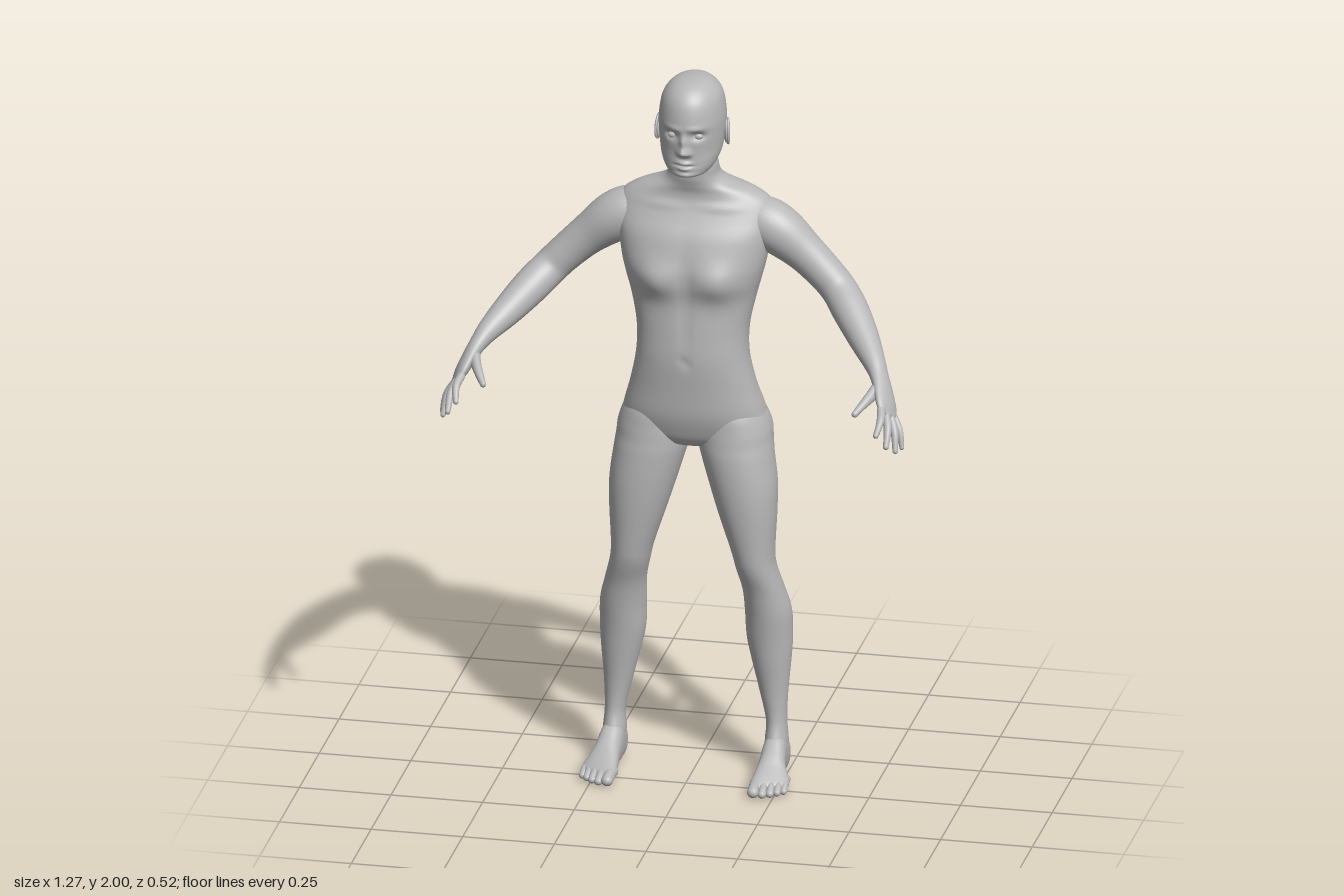
import * as THREE from 'three';

const V = (x, y, z) => new THREE.Vector3(x, y, z);
const skin = new THREE.MeshStandardMaterial({ color: 0xb8b8b8 });
skin.name = 'plain grey';

// Smooth curve through rows of numbers, 'steps' samples per span
function smoothRows(rows, steps) {
  const out = [], last = rows.length - 1;
  for (let i = 0; i < last; i++) {
    const a = rows[Math.max(i - 1, 0)], b = rows[i], c = rows[i + 1], d = rows[Math.min(i + 2, last)];
    for (let s = 0; s < steps; s++) {
      const t = s / steps, t2 = t * t, t3 = t2 * t;
      out.push(b.map((v, k) => 0.5 * (2 * v + (c[k] - a[k]) * t
        + (2 * a[k] - 5 * v + 4 * c[k] - d[k]) * t2 + (3 * v - a[k] - 3 * c[k] + d[k]) * t3)));
    }
  }
  out.push(rows[last]);
  return out;
}

// Closed surface over a list of rings, with fans at both ends
function cover(rings) {
  const n = rings[0].length, pos = [], idx = [];
  rings.forEach(r => r.forEach(p => pos.push(p.x, p.y, p.z)));
  for (let i = 0; i < rings.length - 1; i++) for (let j = 0; j < n; j++) {
    const a = i * n + j, b = i * n + (j + 1) % n;
    idx.push(a, b, a + n, b, b + n, a + n);
  }
  [0, rings.length - 1].forEach((r, end) => {
    const mid = rings[r].reduce((s, p) => s.add(p), V(0, 0, 0)).divideScalar(n);
    const m = pos.push(mid.x, mid.y, mid.z) / 3 - 1;
    for (let j = 0; j < n; j++) {
      const a = r * n + j, b = r * n + (j + 1) % n;
      if (end) idx.push(m, a, b); else idx.push(m, b, a);
    }
  });
  const g = new THREE.BufferGeometry();
  g.setAttribute('position', new THREE.Float32BufferAttribute(pos, 3));
  g.setIndex(idx);
  g.computeVertexNormals();
  return g;
}

// Loft of rounded sections [t, centre, halfWidth, high, low, squareness]; place() sets them in space
function loft(rows, place, { segs = 48, steps = 6, deform = p => p } = {}) {
  const pw = (v, n) => Math.sign(v) * Math.abs(v) ** (2 / n);
  return cover(smoothRows(rows, steps).map(([t, c, w, hi, lo, n]) =>
    Array.from({ length: segs }, (_, j) => {
      const a = j / segs * Math.PI * 2;
      return deform(place(c + w * pw(Math.cos(a), n), (hi + lo) / 2 + (hi - lo) / 2 * pw(Math.sin(a), n), t));
    })));
}
const upright = (a, b, t) => V(a, t, b);
const lengthwise = (a, b, t) => V(a, b, t);

// Round-ended limb through points [x, y, z, width, thickness]; 'across' is the width direction
function limb(points, across, segs = 16, steps = 5) {
  const rows = smoothRows(points, steps), at = r => V(r[0], r[1], r[2]), rings = [];
  const ring = (r, i, k, push) => {
    const t = at(rows[Math.min(i + 1, rows.length - 1)]).sub(at(rows[Math.max(i - 1, 0)])).normalize();
    const u = across.clone().addScaledVector(t, -across.dot(t)).normalize(), v = t.clone().cross(u);
    rings.push(Array.from({ length: segs }, (_, j) => {
      const a = j / segs * Math.PI * 2;
      return at(r).addScaledVector(t, push * Math.min(r[3], r[4]))
        .addScaledVector(u, Math.cos(a) * r[3] * k).addScaledVector(v, Math.sin(a) * r[4] * k);
    }));
  };
  const caps = [0.1, 0.35, 0.65, 0.95, 1.25, 1.5], last = rows.length - 1;
  caps.forEach(a => ring(rows[0], 0, Math.sin(a), -Math.cos(a)));
  rows.forEach((r, i) => ring(r, i, 1, 0));
  [...caps].reverse().forEach(a => ring(rows[last], last, Math.sin(a), Math.cos(a)));
  return cover(rings);
}

// Soft mirrored bump centred at (x, y)
const bump = (p, x, y, sx, sy) => Math.exp(-(((Math.abs(p.x) - x) / sx) ** 2) - ((p.y - y) / sy) ** 2);

// Chest, collarbones, navel, spine, shoulder blades and buttocks
function shapeBody(p) {
  const f = THREE.MathUtils.smoothstep(p.z, -0.11, -0.03), b = 1 - THREE.MathUtils.smoothstep(p.z, -0.2, -0.13);
  p.z += f * (0.02 * bump(p, 0.085, 1.44, 0.055, 0.05) - 0.006 * bump(p, 0, 1.45, 0.02, 0.09)
    + 0.006 * bump(p, 0.09, 1.635, 0.07, 0.012) - 0.006 * bump(p, 0, 1.21, 0.01, 0.012)
    - 0.004 * bump(p, 0, 1.31, 0.012, 0.08));
  p.z -= b * (0.03 * bump(p, 0.09, 1.03, 0.06, 0.075) - 0.028 * bump(p, 0, 1.02, 0.016, 0.09)
    + 0.014 * bump(p, 0.1, 1.53, 0.05, 0.08) - 0.014 * bump(p, 0, 1.4, 0.025, 0.24));
  return p;
}

// Nose, eye sockets, brow, lips and chin
function shapeFace(p) {
  const f = THREE.MathUtils.smoothstep(p.z, -0.07, -0.02);
  p.z += f * (0.026 * bump(p, 0, 1.823, 0.012, 0.012) + 0.014 * bump(p, 0, 1.848, 0.01, 0.02)
    + 0.01 * bump(p, 0.013, 1.818, 0.007, 0.008) - 0.013 * bump(p, 0.035, 1.866, 0.018, 0.012)
    + 0.004 * bump(p, 0.03, 1.887, 0.025, 0.008) + 0.009 * bump(p, 0, 1.789, 0.018, 0.006)
    + 0.009 * bump(p, 0, 1.774, 0.016, 0.006) - 0.006 * bump(p, 0, 1.7815, 0.022, 0.0025)
    + 0.006 * bump(p, 0, 1.756, 0.02, 0.009));
  return p;
}

function mirrored(g) {
  const m = g.clone().scale(-1, 1, 1), i = m.index.array;
  for (let k = 0; k < i.length; k += 3) [i[k], i[k + 1]] = [i[k + 1], i[k]];
  m.computeVertexNormals();
  return m;
}

export function createModel() {
  const model = new THREE.Group();
  model.name = 'figure';
  const add = (name, g) => {
    const mesh = new THREE.Mesh(g, skin);
    mesh.name = name;
    model.add(mesh);
  };
  const pair = (name, g) => { add(name + 'Left', g); add(name + 'Right', mirrored(g)); };

  // Head
  add('head', loft([
    [2.0, 0, 0.004, -0.088, -0.096, 2], [1.995, 0, 0.035, -0.045, -0.14, 2], [1.98, 0, 0.06, -0.01, -0.172, 2],
    [1.95, 0, 0.08, 0.015, -0.197, 2], [1.9, 0, 0.089, 0.027, -0.208, 2], [1.86, 0, 0.089, 0.025, -0.203, 2],
    [1.82, 0, 0.085, 0.021, -0.188, 2], [1.79, 0, 0.078, 0.02, -0.165, 2.1], [1.765, 0, 0.066, 0.021, -0.14, 2.1],
    [1.748, 0, 0.047, 0.016, -0.11, 2.1], [1.738, 0, 0.01, -0.03, -0.06, 2],
  ], upright, { segs: 96, steps: 10, deform: shapeFace }));

  // Eyes and ears
  pair('eye', new THREE.SphereGeometry(0.012, 20, 14).scale(1.1, 0.75, 0.7).translate(0.035, 1.863, 0.003));
  const place = g => g.rotateX(-0.2).rotateY(0.25).translate(0.09, 1.845, -0.097);
  pair('ear', place(new THREE.SphereGeometry(1, 20, 14).scale(0.007, 0.033, 0.019)));
  pair('earRim', place(new THREE.TorusGeometry(0.017, 0.004, 8, 28).rotateY(Math.PI / 2).scale(1, 1.8, 1).translate(0.005, 0, 0)));

  // Neck, trunk and pelvis
  add('torso', loft([
    [1.8, 0, 0.06, -0.05, -0.155, 2], [1.75, 0, 0.066, -0.047, -0.164, 2], [1.715, 0, 0.073, -0.05, -0.184, 2],
    [1.692, 0, 0.1, -0.056, -0.2, 2], [1.668, 0, 0.16, -0.062, -0.214, 2], [1.64, 0, 0.2, -0.058, -0.226, 2.1],
    [1.6, 0, 0.213, -0.038, -0.235, 2.2], [1.55, 0, 0.208, -0.011, -0.238, 2.3], [1.48, 0, 0.196, 0.008, -0.234, 2.3],
    [1.43, 0, 0.184, 0.01, -0.228, 2.3], [1.37, 0, 0.168, 0.004, -0.22, 2.3], [1.29, 0, 0.152, 0.01, -0.207, 2.3],
    [1.21, 0, 0.152, 0.014, -0.2, 2.3], [1.12, 0, 0.17, 0.007, -0.21, 2.3], [1.05, 0, 0.19, 0, -0.233, 2.3],
    [1.0, 0, 0.198, -0.014, -0.232, 2.2], [0.97, 0, 0.17, -0.028, -0.21, 2.1], [0.95, 0, 0.1, -0.05, -0.18, 2],
    [0.94, 0, 0.01, -0.1, -0.13, 2],
  ], upright, { segs: 80, steps: 7, deform: shapeBody }));

  // Legs
  pair('leg', loft([
    [1.1, 0.1, 0.05, -0.05, -0.18, 2], [1.05, 0.103, 0.084, -0.022, -0.215, 2], [1.0, 0.107, 0.1, -0.014, -0.235, 2.1],
    [0.96, 0.111, 0.101, -0.01, -0.226, 2.1], [0.92, 0.119, 0.098, -0.006, -0.21, 2.1], [0.84, 0.136, 0.091, -0.004, -0.199, 2.1],
    [0.76, 0.1485, 0.0785, -0.008, -0.185, 2.1], [0.65, 0.164, 0.058, -0.02, -0.17, 2.1], [0.6, 0.172, 0.054, -0.029, -0.167, 2.1],
    [0.535, 0.1875, 0.0555, -0.05, -0.18, 2.1], [0.467, 0.1975, 0.0625, -0.063, -0.199, 2], [0.39, 0.2, 0.062, -0.075, -0.2, 2],
    [0.33, 0.2045, 0.0545, -0.082, -0.191, 2], [0.23, 0.2125, 0.038, -0.093, -0.173, 2], [0.15, 0.22, 0.028, -0.093, -0.17, 2],
    [0.09, 0.221, 0.031, -0.075, -0.18, 2], [0.04, 0.222, 0.027, -0.08, -0.183, 2],
  ], upright, { deform: shapeBody }));

  // Feet, slanting back toward the little toe
  pair('foot', loft([
    [-0.191, 0.222, 0.006, 0.045, 0.03, 2], [-0.185, 0.222, 0.02, 0.065, 0.01, 2], [-0.155, 0.222, 0.031, 0.1, 0, 2.4],
    [-0.1, 0.222, 0.033, 0.118, 0, 2.4], [-0.05, 0.225, 0.036, 0.09, 0.001, 2.3], [-0.01, 0.229, 0.044, 0.063, 0.001, 2.3],
    [0.025, 0.232, 0.05, 0.044, 0.001, 2.3], [0.045, 0.232, 0.046, 0.032, 0.004, 2.3], [0.053, 0.232, 0.03, 0.022, 0.01, 2],
  ], lengthwise, {
    deform: p => { p.z -= 0.5 * (p.x - 0.225) * THREE.MathUtils.smoothstep(p.z, -0.08, 0.04); return p; },
  }));
  [[0.198, 0.088, 0.016], [0.222, 0.082, 0.0115], [0.241, 0.072, 0.011], [0.258, 0.058, 0.0105], [0.273, 0.043, 0.01]]
    .forEach(([x, tip, r], i) => pair('toe' + (i + 1), limb([
      [x - 0.002, 0.024, tip - 0.07, r, r], [x, 0.024, tip - 0.035, r * 0.9, r * 0.9], [x + 0.001, r + 0.001, tip - r, r, r * 0.9],
    ], V(1, 0, 0))));

  // Arms running into the palms
  const across = V(-0.424, 0.566, 0.707);
  pair('arm', limb([
    [0.1, 1.585, -0.145, 0.045, 0.045], [0.17, 1.58, -0.142, 0.066, 0.066], [0.225, 1.555, -0.138, 0.068, 0.068],
    [0.295, 1.5, -0.135, 0.055, 0.055], [0.355, 1.445, -0.128, 0.05, 0.05], [0.395, 1.405, -0.115, 0.049, 0.049],
    [0.437, 1.365, -0.068, 0.049, 0.049], [0.485, 1.318, -0.005, 0.042, 0.042], [0.525, 1.28, 0.055, 0.032, 0.031],
    [0.545, 1.255, 0.085, 0.03, 0.024], [0.562, 1.228, 0.113, 0.036, 0.02], [0.578, 1.196, 0.145, 0.042, 0.017],
    [0.588, 1.174, 0.164, 0.039, 0.012],
  ], across, 32, 6));

  // Fingers fanning out from the knuckles, and the thumb
  [[0.573, 1.145, 0.25], [0.598, 1.11, 0.238], [0.617, 1.088, 0.208], [0.627, 1.085, 0.172]].forEach((tip, i) => {
    const root = V(0.586, 1.176, 0.162).addScaledVector(across, 0.03 - i * 0.02), end = V(...tip);
    const knuckle = root.clone().lerp(end, 0.5).add(V(0.006, 0.006, 0.003)), r = [0.0105, 0.011, 0.0105, 0.009][i];
    pair('finger' + (i + 1), limb([
      [...root, r * 1.1, r * 1.1], [...knuckle, r, r], [...end, r * 0.72, r * 0.7],
    ], across));
  });
  pair('thumb', limb([
    [0.555, 1.235, 0.11, 0.02, 0.017], [0.54, 1.219, 0.15, 0.017, 0.014], [0.523, 1.203, 0.185, 0.0115, 0.0115],
    [0.507, 1.186, 0.212, 0.009, 0.008],
  ], across));

  return model;
}
